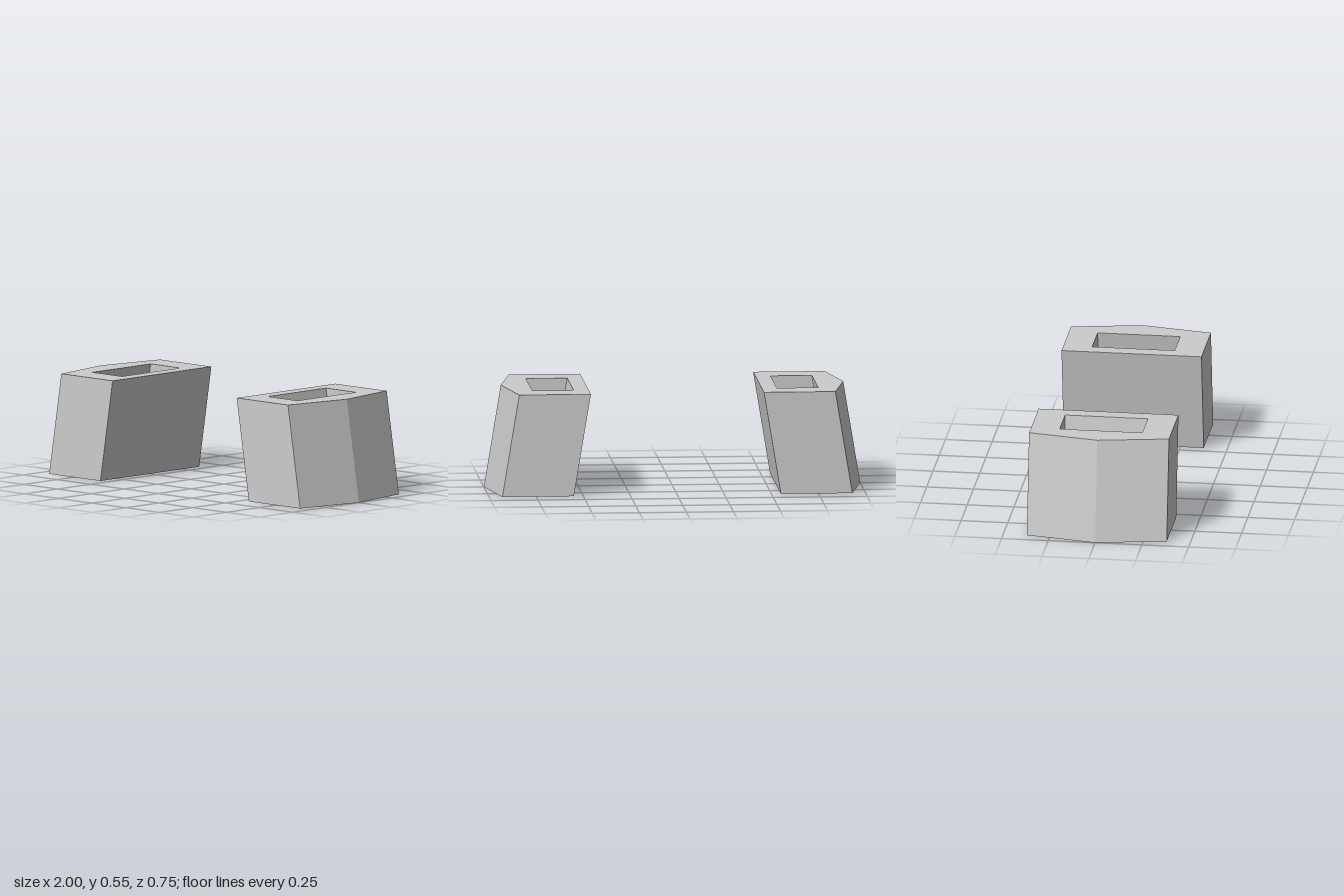
import * as THREE from 'three';

const HEIGHT = 0.545;
const LEAN = 0.09; // inward shift of the top
const HALF_DEPTH = 0.374;

// Five-sided sleeve with a rectangular through-hole, sheared towards the centre
function sleeveGeometry(side) {
  const points = (list) => list.map(([x, z]) => new THREE.Vector2(side * x, z));
  const outline = new THREE.Shape(points([
    [0.55, -HALF_DEPTH], [0.93, -HALF_DEPTH], [1, 0], [0.93, HALF_DEPTH], [0.55, HALF_DEPTH],
  ]));
  outline.holes.push(new THREE.Path(points([
    [0.63, -0.221], [0.63, 0.221], [0.85, 0.221], [0.85, -0.221],
  ])));

  const geometry = new THREE.ExtrudeGeometry(outline, { depth: HEIGHT, bevelEnabled: false });
  geometry.rotateX(-Math.PI / 2);

  // Lean: the higher the vertex, the closer to x = 0
  const shear = new THREE.Matrix4().set(
    1, -side * LEAN / HEIGHT, 0, 0,
    0, 1, 0, 0,
    0, 0, 1, 0,
    0, 0, 0, 1,
  );
  geometry.applyMatrix4(shear);
  geometry.computeVertexNormals();
  return geometry;
}

export function createModel() {
  const model = new THREE.Group();
  model.name = 'sleevePair';
  const material = new THREE.MeshStandardMaterial({ color: 0xcccccc, flatShading: true });

  // Mirrored left and right sleeves
  for (const [name, side] of [['leftSleeve', 1], ['rightSleeve', -1]]) {
    const sleeve = new THREE.Mesh(sleeveGeometry(side), material);
    sleeve.name = name;
    model.add(sleeve);
  }
  return model;
}
